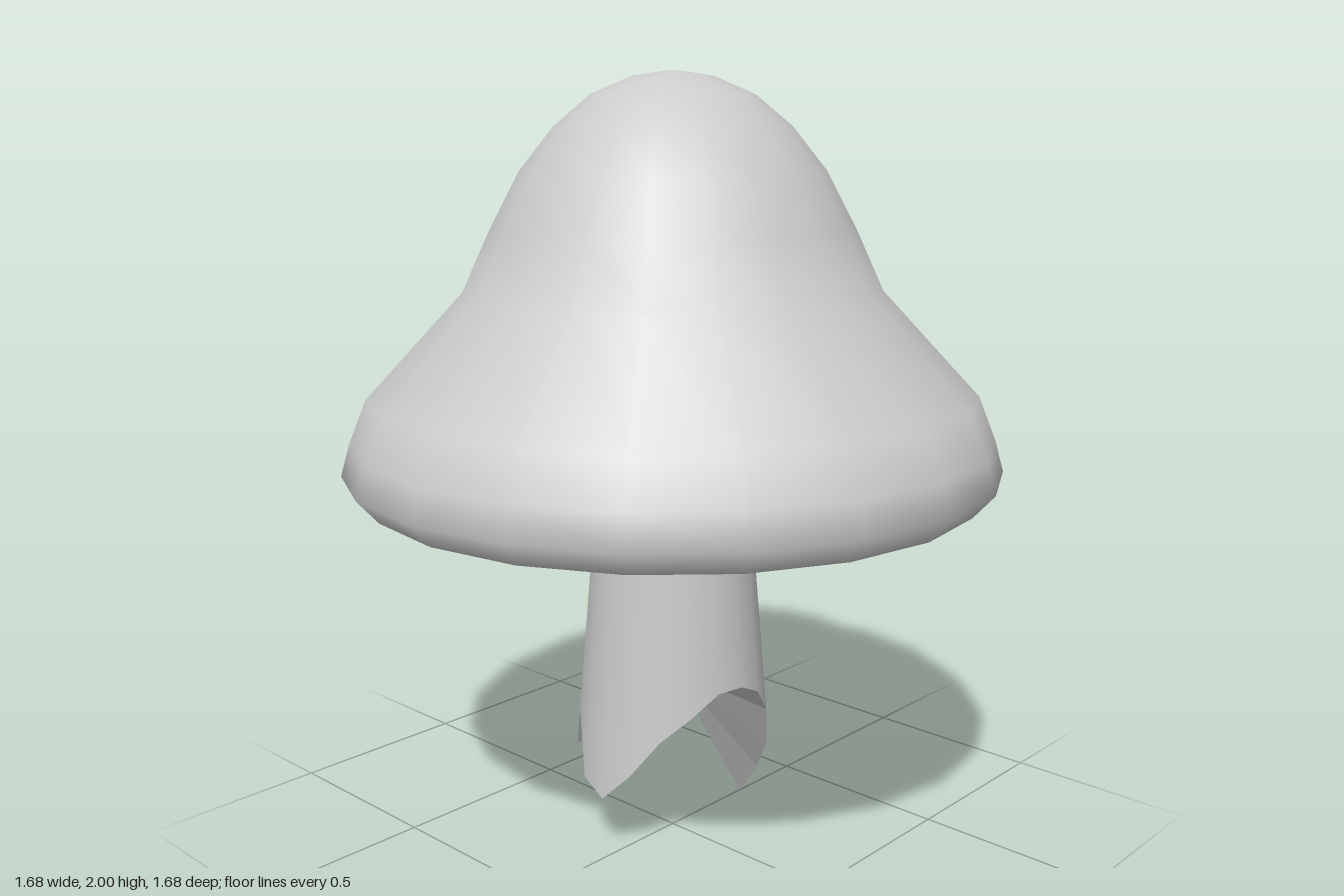
import * as THREE from 'three';

const SIDES = 20;
const CAP_BASE = 0.96;

// Height of the torn stem edge at each side, starting at the front and turning towards +x
const RIM = [0.17, 0.25, 0.35, 0.41, 0.465, 0.465, 0.43, 0.35, 0.22, 0.11,
  0.0, 0.15, 0.3, 0.135, 0.17, 0.37, 0.27, 0.22, 0.36, 0.2];

const stemRadius = (y) => 0.2 + (CAP_BASE - y) * 0.085;

function rimPoint(i) {
  const y = RIM[i % SIDES];
  const a = (i / SIDES) * Math.PI * 2;
  const r = stemRadius(y);
  return [r * Math.sin(a), y, r * Math.cos(a)];
}

export function createModel() {
  const model = new THREE.Group();
  const material = new THREE.MeshStandardMaterial({ color: 0xcccccc });
  const flat = new THREE.MeshStandardMaterial({ color: 0xcccccc, flatShading: true });

  const add = (name, geometry, mat) => {
    const mesh = new THREE.Mesh(geometry, mat);
    mesh.name = name;
    model.add(mesh);
    return mesh;
  };

  // Bell-shaped cap, from the rim up to the crown
  const profile = [
    [0.785, CAP_BASE], [0.838, 1.02], [0.815, 1.1], [0.77, 1.21], [0.525, 1.47],
    [0.455, 1.62], [0.38, 1.76], [0.295, 1.865], [0.205, 1.94], [0.1, 1.985], [0, 2],
  ].map(([r, y]) => new THREE.Vector2(r, y));
  add('cap', new THREE.LatheGeometry(profile, SIDES), material);

  // Flat underside of the cap
  const underside = add('capUnderside', new THREE.CircleGeometry(0.785, SIDES), material);
  underside.rotation.x = Math.PI / 2;
  underside.position.y = CAP_BASE;

  // Flared stem whose lower ring follows the torn edge
  const stem = new THREE.CylinderGeometry(0.2, 0.28, CAP_BASE, SIDES, 1, true);
  stem.translate(0, CAP_BASE / 2, 0);
  for (let i = 0; i <= SIDES; i++) {
    stem.attributes.position.setXYZ(SIDES + 1 + i, ...rimPoint(i));
  }
  add('stem', stem, material);

  // Faceted hollow under the stem, rising from the torn edge to a central point
  const hollow = [];
  for (let i = 0; i < SIDES; i++) {
    hollow.push(0, 0.45, 0, ...rimPoint(i + 1), ...rimPoint(i));
  }
  const hollowGeometry = new THREE.BufferGeometry();
  hollowGeometry.setAttribute('position', new THREE.Float32BufferAttribute(hollow, 3));
  hollowGeometry.computeVertexNormals();
  add('stemHollow', hollowGeometry, flat);

  return model;
}
